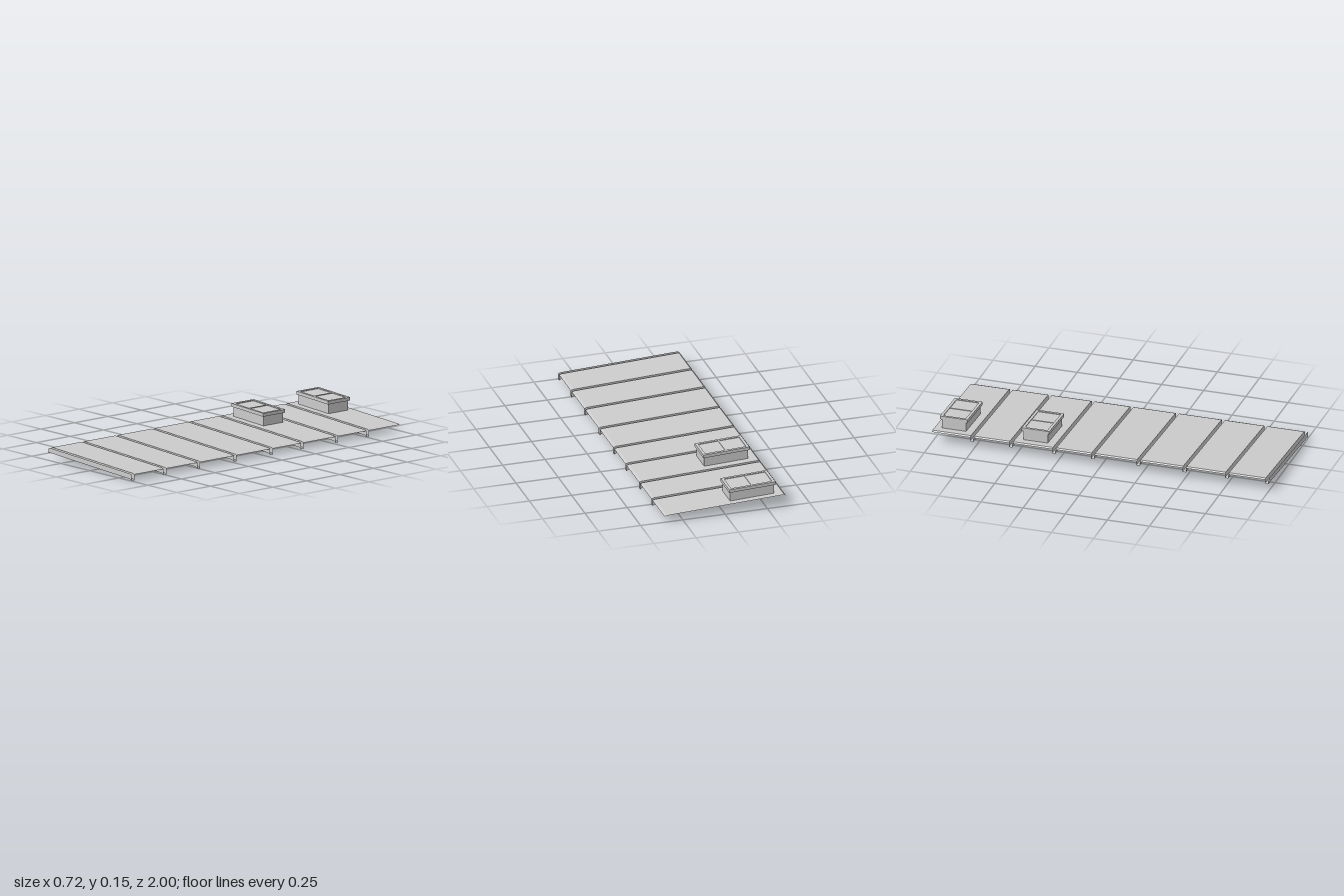
import * as THREE from 'three';

const mat = new THREE.MeshStandardMaterial({ color: 0xcccccc, side: THREE.DoubleSide, flatShading: true });

// Roof section along x: [x, top y, groove depth], with turned-down ends
const SECTION = [[-0.36, 0.068, 0.025], [-0.35, 0.075, 0.028], [0.343, 0.042, 0.031], [0.358, 0.037, 0.035]];
const SLOPE = (0.042 - 0.075) / 0.693;
const roofY = x => 0.075 + SLOPE * (x + 0.35);
const GROOVES = [-0.762, -0.531, -0.275, -0.045, 0.225, 0.498, 0.75, 0.988];
const SKYLIGHTS = [-0.888, -0.403];
const HALF_GROOVE = 0.01;
const HOLE = { x0: -0.302, x1: -0.042, halfZ: 0.072 };

// Sheet swept along the section from z0 to z1; d0 and d1 choose top (0) or groove floor (1)
function sheet(name, section, z0, d0, z1, d1) {
  const pos = [], index = [];
  section.forEach(([x, y, depth], i) => {
    pos.push(x, y - depth * d0, z0, x, y - depth * d1, z1);
    if (i) {
      const a = 2 * i - 2;
      index.push(a, a + 1, a + 2, a + 1, a + 3, a + 2);
    }
  });
  const g = new THREE.BufferGeometry();
  g.setAttribute('position', new THREE.Float32BufferAttribute(pos, 3));
  g.setIndex(index);
  g.computeVertexNormals();
  const mesh = new THREE.Mesh(g, mat);
  mesh.name = name;
  return mesh;
}

// Box given by its ranges, with y measured above the sloping roof
function slopedBox(name, x0, x1, y0, y1, z0, z1) {
  const g = new THREE.BoxGeometry(x1 - x0, y1 - y0, z1 - z0);
  g.translate((x0 + x1) / 2, (y0 + y1) / 2, (z0 + z1) / 2);
  const p = g.attributes.position;
  for (let i = 0; i < p.count; i++) p.setY(i, p.getY(i) + roofY(p.getX(i)));
  g.computeVertexNormals();
  const mesh = new THREE.Mesh(g, mat);
  mesh.name = name;
  return mesh;
}

// Four bars around a rectangle
function frame(name, x0, x1, y0, y1, halfZ, t) {
  const group = new THREE.Group();
  group.name = name;
  for (const s of [-1, 1]) {
    const a = s * halfZ, b = s * (halfZ - t);
    group.add(slopedBox(name + 'Side', x0, x1, y0, y1, Math.min(a, b), Math.max(a, b)));
  }
  group.add(slopedBox(name + 'End', x0, x0 + t, y0, y1, t - halfZ, halfZ - t));
  group.add(slopedBox(name + 'End', x1 - t, x1, y0, y1, t - halfZ, halfZ - t));
  return group;
}

function skylight(z) {
  const group = new THREE.Group();
  group.name = 'skylight';
  const { x0, x1, halfZ } = HOLE, mid = (x0 + x1) / 2;
  group.add(frame('curb', x0, x1, -0.001, 0.057, halfZ, 0.005));
  group.add(frame('capRim', x0 - 0.005, x1 + 0.008, 0.056, 0.075, halfZ + 0.01, 0.016));
  // two recessed panes with a bar between them
  group.add(slopedBox('pane', x0 + 0.01, mid - 0.003, 0.064, 0.071, -halfZ + 0.005, halfZ - 0.005));
  group.add(slopedBox('pane', mid + 0.003, x1 - 0.007, 0.064, 0.071, -halfZ + 0.005, halfZ - 0.005));
  group.add(slopedBox('paneBar', mid - 0.004, mid + 0.004, 0.058, 0.074, -halfZ + 0.005, halfZ - 0.005));
  group.position.z = z;
  return group;
}

export function createModel() {
  const model = new THREE.Group();
  model.name = 'slopedRoof';

  let z0 = -1;
  for (const gz of GROOVES) {
    const a = gz - HALF_GROOVE, b = gz + HALF_GROOVE;

    // Roof panel, opened where a skylight stands
    const sky = SKYLIGHTS.find(z => z > z0 && z < a);
    if (sky === undefined) {
      model.add(sheet('roofPanel', SECTION, z0, 0, a, 0));
    } else {
      const h0 = sky - HOLE.halfZ, h1 = sky + HOLE.halfZ;
      const left = [...SECTION.slice(0, 2), [HOLE.x0, roofY(HOLE.x0), 0]];
      const right = [[HOLE.x1, roofY(HOLE.x1), 0], ...SECTION.slice(2)];
      model.add(sheet('roofPanelBack', SECTION, z0, 0, h0, 0));
      model.add(sheet('roofPanelHighSide', left, h0, 0, h1, 0));
      model.add(sheet('roofPanelLowSide', right, h0, 0, h1, 0));
      model.add(sheet('roofPanelFront', SECTION, h1, 0, a, 0));
      model.add(skylight(sky));
    }

    // Open groove: two walls and a floor
    model.add(sheet('grooveBackWall', SECTION, a, 0, a, 1));
    model.add(sheet('grooveFloor', SECTION, a, 1, b, 1));
    model.add(sheet('grooveFrontWall', SECTION, b, 1, b, 0));
    z0 = b;
  }
  return model;
}
